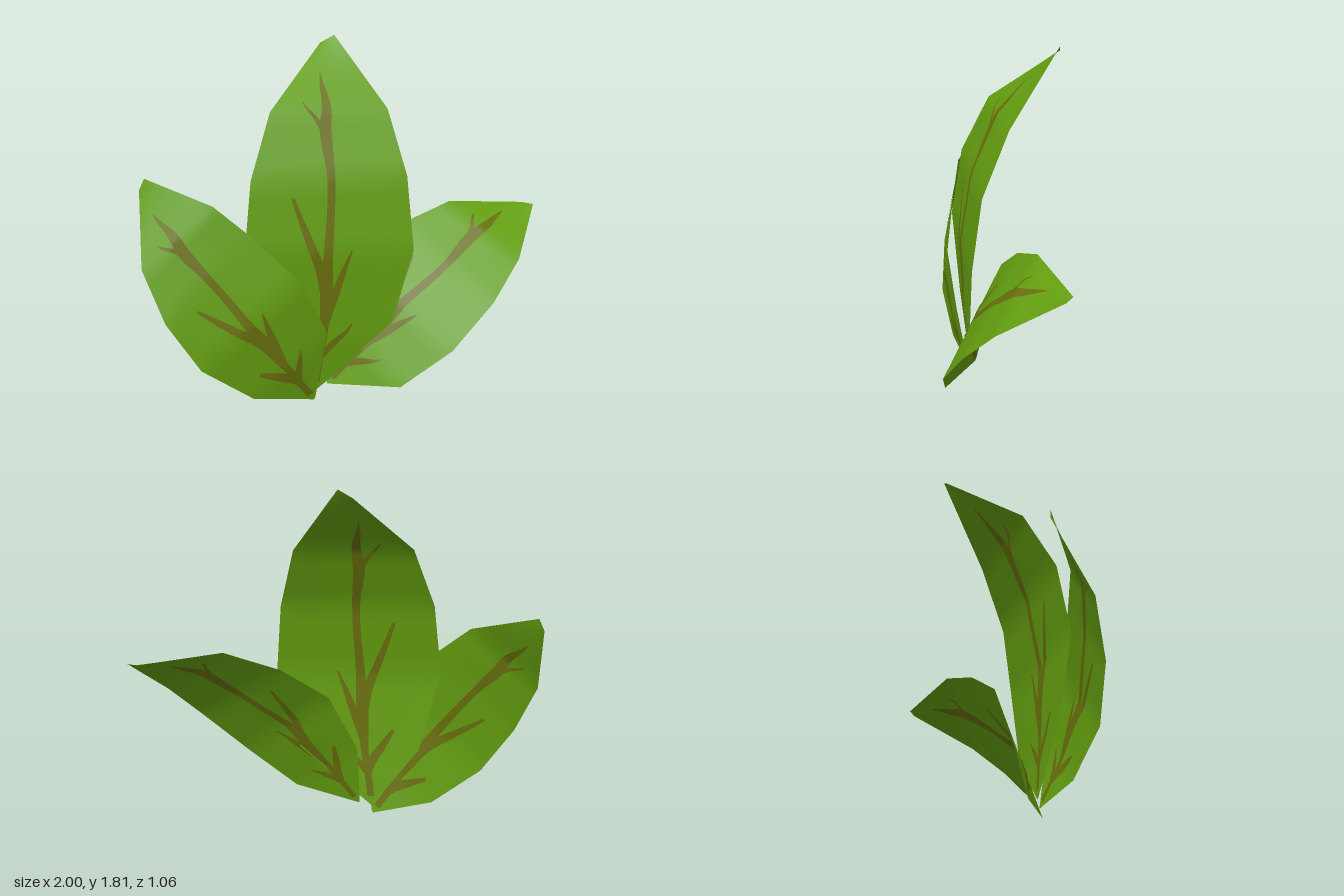
import * as THREE from 'three';

const leafGreen = new THREE.MeshStandardMaterial({ color: 0x649f10, side: THREE.DoubleSide });
leafGreen.name = 'leafGreen';
const veinOlive = new THREE.MeshStandardMaterial({ color: 0x6a700d, side: THREE.DoubleSide });
veinOlive.name = 'veinOlive';

// Each leaf: left and right edge points, paired in rows from base to tip.
const LEAVES = {
  middleLeaf: {
    left: [[-0.24, 0.05, 0.03], [-0.47, 0.35, -0.05], [-0.58, 0.77, -0.07], [-0.52, 1.14, -0.1], [-0.36, 1.46, -0.17], [0.05, 1.77, -0.33]],
    right: [[-0.23, 0.05, 0.035], [0.09, 0.36, 0.23], [0.2, 0.77, 0.28], [0.2, 1.14, 0.22], [0.195, 1.46, 0.06], [0.11, 1.81, -0.29]],
  },
  rightLeaf: {
    left: [[-0.245, 0, 0.035], [-0.55, 0.04, -0.05], [-0.8, 0.21, -0.13], [-0.94, 0.45, -0.23], [-1, 0.71, -0.35], [-0.91, 1.07, -0.53]],
    right: [[-0.24, 0.01, 0.04], [-0.22, 0.37, 0.12], [-0.36, 0.65, 0.09], [-0.56, 0.885, -0.07], [-0.69, 1.02, -0.18], [-0.89, 1.13, -0.51]],
  },
  leftLeaf: {
    left: [[-0.165, 0.08, 0.035], [-0.12, 0.4, -0.03], [0.03, 0.69, 0], [0.27, 0.85, 0.06], [0.55, 0.955, 0.13], [0.97, 0.915, 0.22]],
    right: [[-0.165, 0.07, 0.04], [0.06, 0.095, 0.36], [0.28, 0.28, 0.5], [0.52, 0.5, 0.53], [0.73, 0.69, 0.48], [1, 0.91, 0.28]],
  },
};

// Veins in leaf coordinates: [row, position across, half width].
const VEINS = {
  midrib: [[0.15, 0.45, 0.018], [1, 0.46, 0.02], [1.6, 0.48, 0.032], [2, 0.49, 0.024], [3, 0.51, 0.02],
    [3.7, 0.47, 0.03], [4.1, 0.47, 0.022], [4.52, 0.37, 0.003]],
  leftBranch: [[1.45, 0.47, 0.022], [1.8, 0.44, 0.024], [2.15, 0.38, 0.02], [2.75, 0.27, 0.008]],
  rightBranch: [[1.1, 0.47, 0.018], [1.55, 0.55, 0.02], [2.03, 0.63, 0.004]],
  lowerLeftBranch: [[0.55, 0.46, 0.02], [0.9, 0.36, 0.024], [1.25, 0.24, 0.01]],
  lowerRightBranch: [[0.6, 0.48, 0.016], [0.85, 0.58, 0.016], [1.1, 0.68, 0.004]],
  upperBranch: [[3.6, 0.48, 0.016], [3.9, 0.38, 0.01], [4.12, 0.25, 0.003]],
};

// Point on the ruled leaf surface
function surfacePoint(leaf, row, across) {
  const i = Math.min(4, Math.max(0, Math.floor(row)));
  const onEdge = (edge) => new THREE.Vector3(...edge[i]).lerp(new THREE.Vector3(...edge[i + 1]), row - i);
  return onEdge(leaf.left).lerp(onEdge(leaf.right), across);
}

function surfaceNormal(leaf, row, across) {
  const d = 0.12;
  const up = surfacePoint(leaf, row + d, across).sub(surfacePoint(leaf, row - d, across));
  const side = surfacePoint(leaf, row, across + d).sub(surfacePoint(leaf, row, across - d));
  return side.cross(up).normalize();
}

// Smooth sheet through a grid of points
function gridGeometry(rows) {
  const n = rows[0].length;
  const index = [];
  for (let r = 0; r < rows.length - 1; r++) {
    for (let c = 0; c < n - 1; c++) {
      const a = r * n + c;
      index.push(a, a + 1, a + n + 1, a, a + n + 1, a + n);
    }
  }
  const geometry = new THREE.BufferGeometry().setFromPoints(rows.flat());
  geometry.setIndex(index);
  geometry.computeVertexNormals();
  return geometry;
}

function bladeGeometry(leaf) {
  const rows = [];
  for (let r = 0; r <= 20; r++) {
    const row = [];
    for (let c = 0; c <= 8; c++) row.push(surfacePoint(leaf, r / 4, c / 8));
    rows.push(row);
  }
  return gridGeometry(rows);
}

// Tapered ribbon lying just off one face of the leaf
function veinGeometry(leaf, points, offset) {
  const curve = new THREE.CatmullRomCurve3(points.map((p) => new THREE.Vector3(...p)), false, 'centripetal');
  const path = curve.getPoints(points.length * 6);
  const centres = path.map((p) => surfacePoint(leaf, p.x, p.y));
  const rows = path.map((p, i) => {
    const normal = surfaceNormal(leaf, p.x, p.y);
    const along = centres[Math.min(i + 1, path.length - 1)].clone().sub(centres[Math.max(i - 1, 0)]);
    const side = along.cross(normal).normalize();
    const centre = centres[i].clone().addScaledVector(normal, offset);
    return [-1, 1].map((s) => centre.clone().addScaledVector(side, s * Math.max(p.z, 0.002)));
  });
  return gridGeometry(rows);
}

export function createModel() {
  const model = new THREE.Group();
  model.name = 'leafSprig';
  for (const [leafName, leaf] of Object.entries(LEAVES)) {
    const group = new THREE.Group();
    group.name = leafName;
    const blade = new THREE.Mesh(bladeGeometry(leaf), leafGreen);
    blade.name = 'blade';
    group.add(blade);
    // Veins on both faces
    for (const [veinName, points] of Object.entries(VEINS)) {
      for (const [face, offset] of [['Front', 0.004], ['Back', -0.004]]) {
        const vein = new THREE.Mesh(veinGeometry(leaf, points, offset), veinOlive);
        vein.name = veinName + face;
        group.add(vein);
      }
    }
    model.add(group);
  }
  return model;
}
